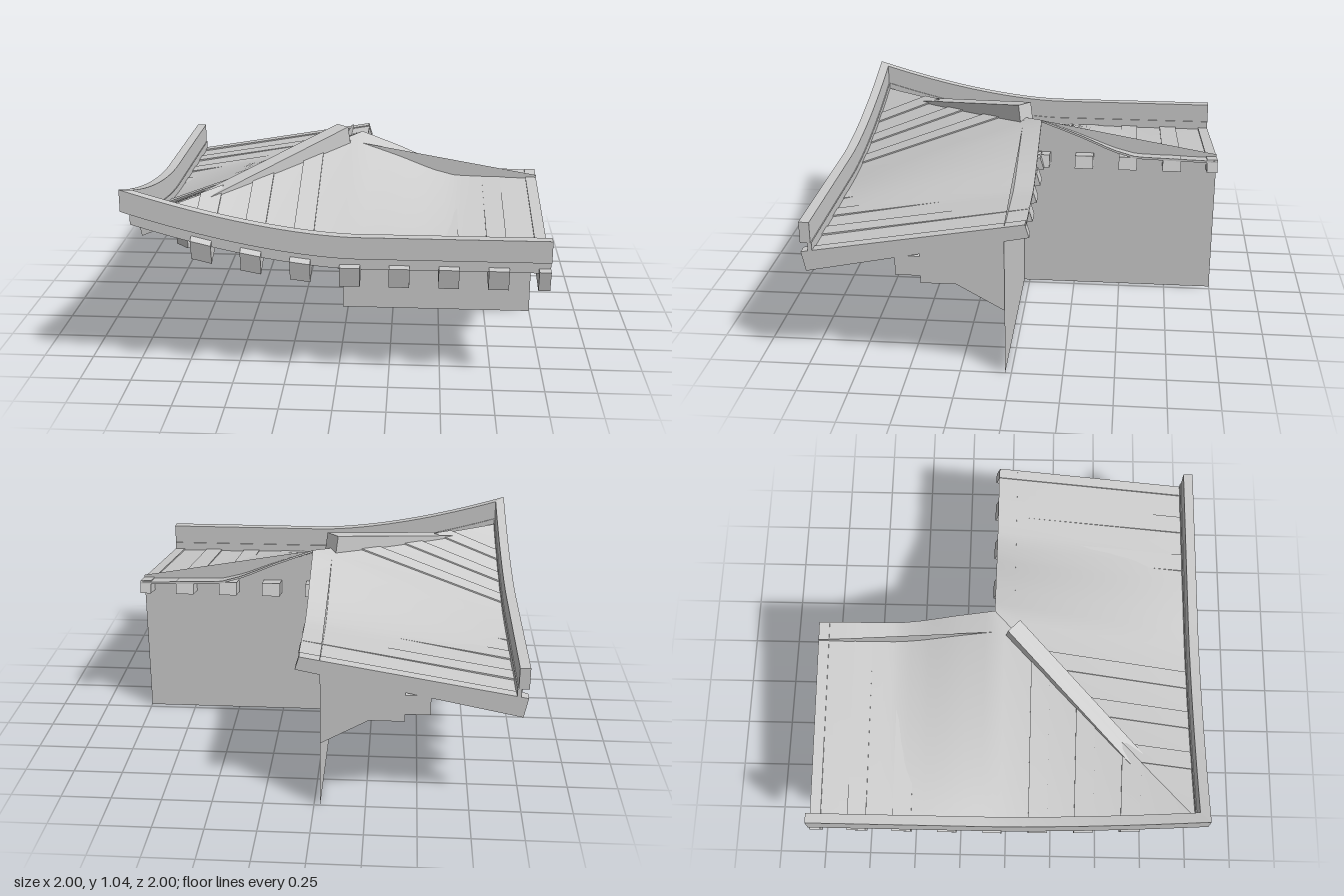
import * as THREE from 'three';

const { lerp } = THREE.MathUtils;
const mat = new THREE.MeshStandardMaterial({ color: 0xcccccc, side: THREE.DoubleSide });

// Eave lift towards the outer corner
const rise = x => 0.21 * Math.pow(Math.max(0, 0.1 - x) / 1.1, 1.65);

// Height of the hip line at distance t from the centre
const hip = t => 0.97 - 0.2 * t + 0.04 * t * t;

// Height of the upper roof edge, sagging away from the peak
const sag = [[0.07, 0.985], [0.15, 0.955], [0.28, 0.905], [0.45, 0.83], [0.57, 0.795], [1.1, 0.78]];
function upperEdge(x) {
  if (x <= 0.07) return hip(-x);
  const i = Math.max(1, sag.findIndex(p => p[0] >= x));
  const [a, b] = [sag[i - 1], sag[i]];
  return lerp(a[1], b[1], (x - a[0]) / (b[0] - a[0]));
}

const upperZ = x => Math.max(-0.0714, -x);

// Top of the roof sheet
function roofY(x, z) {
  const z0 = upperZ(x);
  return lerp(upperEdge(x), 0.6 + rise(x), (z - z0) / (1 - z0));
}

// Box whose unit coordinates (u, v, w) are moved by a rule
function warpBox(nu, nw, rule) {
  const g = new THREE.BoxGeometry(1, 1, 1, nu, 1, nw);
  const p = g.attributes.position;
  for (let i = 0; i < p.count; i++) {
    p.setXYZ(i, ...rule(p.getX(i) + 0.5, p.getY(i) + 0.5, p.getZ(i) + 0.5));
  }
  g.computeVertexNormals();
  return g;
}

// Board following the eave, mitred at the corner
const eaveBoard = (z0, depth, y0, height) => warpBox(40, 1, (u, v, w) => {
  const z = z0 + depth * w;
  const x = lerp(-z, 1, u);
  return [x, y0 + height * v + rise(x), z];
});

// Side profile (distance outward, height) extruded to a width
function profile(points, width) {
  const shape = new THREE.Shape(points.map(p => new THREE.Vector2(...p)));
  return new THREE.ExtrudeGeometry(shape, { depth: width, steps: 2, bevelEnabled: false }).translate(0, 0, -width / 2);
}

// Reflection across the hip: (x, z) -> (-z, -x)
const reflect = new THREE.Matrix4().set(0, 0, -1, 0, 0, 1, 0, 0, -1, 0, 0, 0, 0, 0, 0, 1);
function mirrored(geo) {
  const g = geo.index ? geo.toNonIndexed() : geo.clone();
  g.applyMatrix4(reflect);
  for (const a of Object.values(g.attributes)) {
    const n = a.itemSize;
    for (let i = 0; i < a.count; i += 3) {
      for (let c = 0; c < n; c++) {
        const j = (i + 1) * n + c;
        [a.array[j], a.array[j + n]] = [a.array[j + n], a.array[j]];
      }
    }
  }
  return g;
}

export function createModel() {
  const model = new THREE.Group();
  const frontWing = new THREE.Group();
  const sideWing = new THREE.Group();
  frontWing.name = 'frontWing';
  sideWing.name = 'sideWing';
  model.add(frontWing, sideWing);

  const add = (parent, name, geo) => {
    const m = new THREE.Mesh(geo, mat);
    m.name = name;
    parent.add(m);
  };
  const addBoth = (name, geo) => {
    add(frontWing, name, geo);
    add(sideWing, name, mirrored(geo));
  };

  // Wall with sloping top
  const wall = new THREE.Shape([[-0.03, 0], [1, 0], [1, 0.785], [-0.03, 0.965]].map(p => new THREE.Vector2(...p)));
  addBoth('wall', new THREE.ShapeGeometry(wall).translate(0, 0, 0.03));

  // Thin curved roof sheet
  addBoth('roofSheet', warpBox(40, 10, (u, v, w) => {
    const x = lerp(-0.955, 1, u);
    const z = lerp(upperZ(x), 0.955, w);
    return [x, roofY(x, z) - 0.012 * (1 - v), z];
  }));

  // Raised eave rim over a recessed fascia
  addBoth('eaveRim', eaveBoard(0.95, 0.05, 0.655, 0.107));
  addBoth('fascia', eaveBoard(0.945, 0.02, 0.592, 0.065));

  // Rafters, showing slightly above the sheet
  for (let k = -3; k <= 4; k++) {
    const cx = 0.065 + 0.232 * k;
    addBoth('rafter', warpBox(1, 8, (u, v, w) => {
      const x = Math.min(1, cx + (u - 0.5) * 0.096);
      const z = lerp(cx > 0 ? -0.067 : -x, 1, w);
      const top = cx > 0 ? lerp(0.789, 0.609, w) : roofY(x, z) + 0.008;
      const bottom = cx > 0 ? lerp(0.724, 0.51, w) : top - 0.095;
      return [x, v ? top : bottom, z - 0.02 * (1 - v)];
    }));
  }

  // Purlin carrying the rafters
  addBoth('purlin', warpBox(1, 1, (u, v, w) => {
    const z = 0.43 + 0.12 * w;
    return [lerp(-z, 1, u), 0.508 + 0.1 * v, z];
  }));

  // Wall brackets, filled up to the rafters
  for (const [x, width] of [[0.062, 0.105], [0.53, 0.105], [0.9725, 0.055]]) {
    const g = profile([[0.03, 0.34], [0.26, 0.47], [0.43, 0.47], [0.43, 0.625], [0.03, 0.71]], width);
    addBoth('bracket', g.rotateY(-Math.PI / 2).translate(x, 0, 0));
  }

  // Diagonal corner bracket, notched to fit the wall corner
  const diagonal = -3 * Math.PI / 4;
  const corner = profile(
    [[-0.013, 0.215], [0.042, 0.215], [0.36, 0.47], [0.57, 0.47], [0.57, 0.6], [0.3, 0.7], [-0.013, 0.7]], 0.11);
  const p = corner.attributes.position;
  for (let i = 0; i < p.count; i++) {
    if (Math.abs(p.getZ(i)) < 0.01 && p.getX(i) < 0) p.setX(i, 0.042);
  }
  corner.computeVertexNormals();
  add(model, 'cornerBracket', corner.rotateY(diagonal));

  // Hip rafter under the corner
  add(model, 'hipRafter', profile(
    [[0.2, 0.7], [1.08, 0.615], [1.08, 0.745], [0.2, 0.86]], 0.095
  ).rotateY(diagonal));

  // Hip ridge board
  add(model, 'hipRidge', profile(
    [[0.02, 0.93], [0.04, 1.04], [0.93, 0.845], [0.93, 0.76]], 0.085
  ).rotateY(diagonal));

  return model;
}
